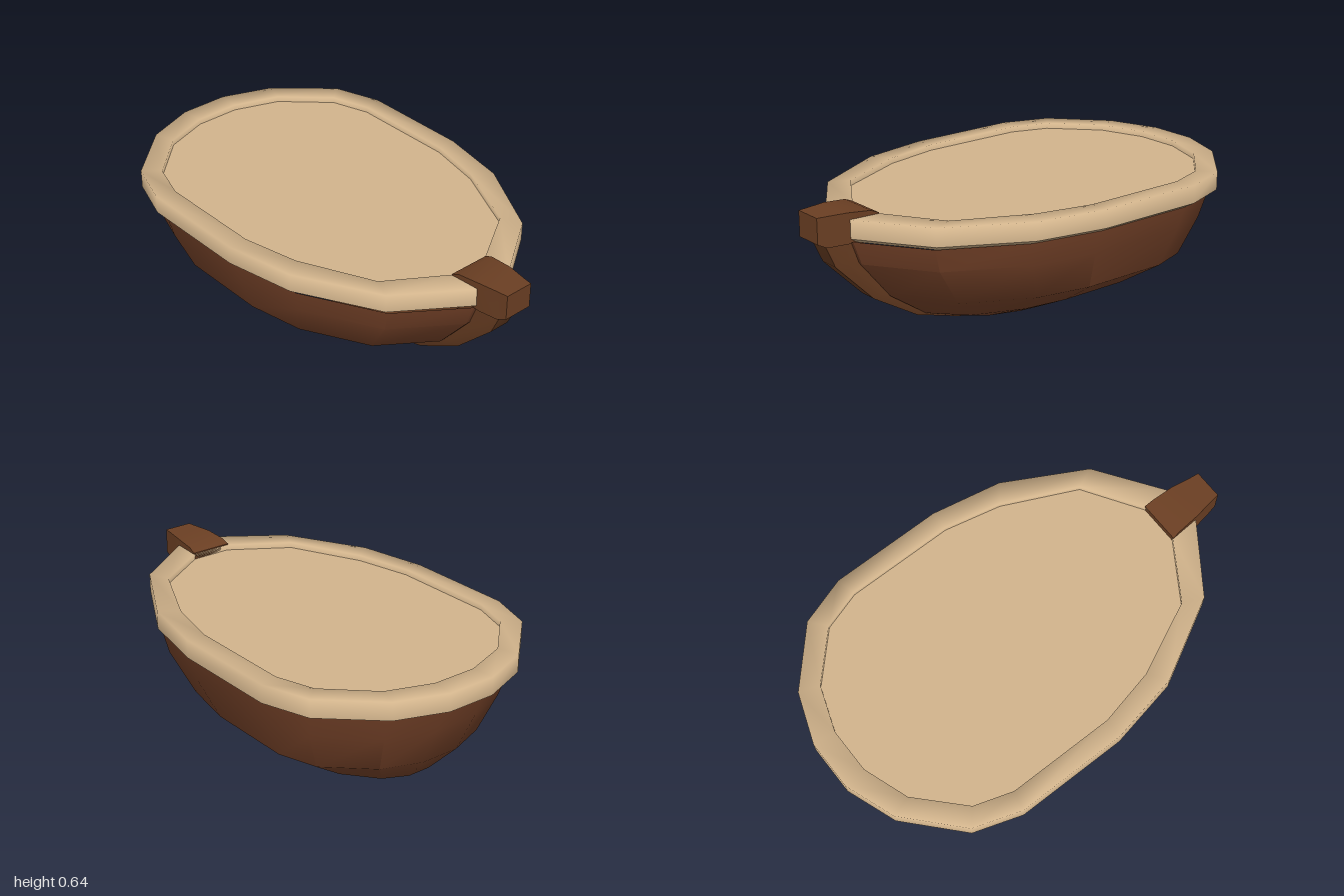
import * as THREE from 'three';
import { toCreasedNormals } from 'three/addons/utils/BufferGeometryUtils.js';

const hullBrown = new THREE.MeshStandardMaterial({ name: 'hull brown', color: 0x774329 });
const stemBrown = new THREE.MeshStandardMaterial({ name: 'stem brown', color: 0x6b3f23 });
const tan = new THREE.MeshStandardMaterial({ name: 'tan wood', color: 0xd2b48c });

// Right half of a plan outline, front to back, mirrored into a closed loop
const closeLoop = (half) => [...half, ...half.slice().reverse().map(([x, z]) => [-x, z])];
const outer = closeLoop([[0.09, 0.86], [0.38, 0.66], [0.57, 0.31], [0.63, 0], [0.63, -0.5], [0.56, -0.71], [0.33, -0.92], [0.11, -1]]);
const inner = closeLoop([[0.09, 0.73], [0.34, 0.57], [0.49, 0.25], [0.545, 0], [0.545, -0.48], [0.49, -0.65], [0.3, -0.83], [0.1, -0.9]]);

const level = (loop, y) => loop.map(([x, z]) => [x, y, z]);

// Outline scaled to half width w and stretched between back and front
const scaled = (y, w, back, front) => outer.map(([x, z]) =>
  [x * w / 0.63, y, back + (z + 1) / 1.86 * (front - back)]);

// Skin over closed cross-sections, with optional end caps
function loft(rings, capStart = false, capEnd = false) {
  const n = rings[0].length, index = [];
  for (let i = 0; i < rings.length - 1; i++) {
    for (let j = 0; j < n; j++) {
      const k = (j + 1) % n, a = i * n, b = a + n;
      index.push(a + j, a + k, b + k, a + j, b + k, b + j);
    }
  }
  const last = (rings.length - 1) * n;
  for (let j = 1; j < n - 1; j++) {
    if (capStart) index.push(0, j + 1, j);
    if (capEnd) index.push(last, last + j, last + j + 1);
  }
  const g = new THREE.BufferGeometry();
  g.setAttribute('position', new THREE.Float32BufferAttribute(rings.flat(2), 3));
  g.setIndex(index);
  g.computeVertexNormals();
  return g;
}

export function createModel() {
  const boat = new THREE.Group();
  boat.name = 'boat';
  const add = (name, geometry, material) => {
    const mesh = new THREE.Mesh(geometry, material);
    mesh.name = name;
    boat.add(mesh);
  };

  // Hull, from flat bottom up to the rim: y, half width, back z, front z
  const hull = [
    [0, 0.05, -0.33, -0.05], [0.03, 0.16, -0.51, 0.27], [0.10, 0.30, -0.72, 0.47],
    [0.23, 0.50, -0.84, 0.66], [0.41, 0.58, -0.92, 0.81], [0.515, 0.605, -0.955, 0.85],
  ].map((s) => scaled(...s));
  add('hull', toCreasedNormals(loft(hull, true), 0.55), hullBrown);

  // Rim with a chamfered underside
  add('rimUnderside', loft([scaled(0.51, 0.60, -0.95, 0.83), level(outer, 0.53)]), tan);
  add('rim', loft([level(outer, 0.53), level(outer, 0.61), level(inner, 0.61), level(inner, 0.56)]), tan);

  // Deck set just below the rim
  add('deck', loft([level(inner, 0.57), level(inner, 0.585)], false, true).toNonIndexed(), tan);
  boat.getObjectByName('deck').geometry.computeVertexNormals();

  // Keel and stem following the bow: y, front z, half width
  const stem = [
    [0, -0.05, 0.038], [0.02, 0.20, 0.042], [0.035, 0.29, 0.045], [0.10, 0.51, 0.05],
    [0.23, 0.73, 0.06], [0.41, 0.91, 0.066], [0.52, 0.96, 0.07],
  ].map(([y, z, w]) => {
    const o = w * 0.7, yi = y + 0.08, zi = z - 0.12;
    return [[o, y, z], [w, y + 0.025, z - 0.035], [w, yi, zi], [-w, yi, zi], [-w, y + 0.025, z - 0.035], [-o, y, z]];
  });
  add('stem', toCreasedNormals(loft(stem, true, true), 0.5), stemBrown);

  // Stem head over the rim: z, half width, top y, bottom y
  const head = [
    [0.73, 0.095, 0.615, 0.57], [0.765, 0.092, 0.63, 0.53], [0.87, 0.085, 0.64, 0.51],
    [0.96, 0.07, 0.64, 0.51], [1, 0.065, 0.64, 0.53],
  ].map(([z, w, t, b]) => [[w, b, z], [w, t, z], [-w, t, z], [-w, b, z]]);
  add('stemHead', toCreasedNormals(loft(head, true, true), 0.5), stemBrown);

  return boat;
}
